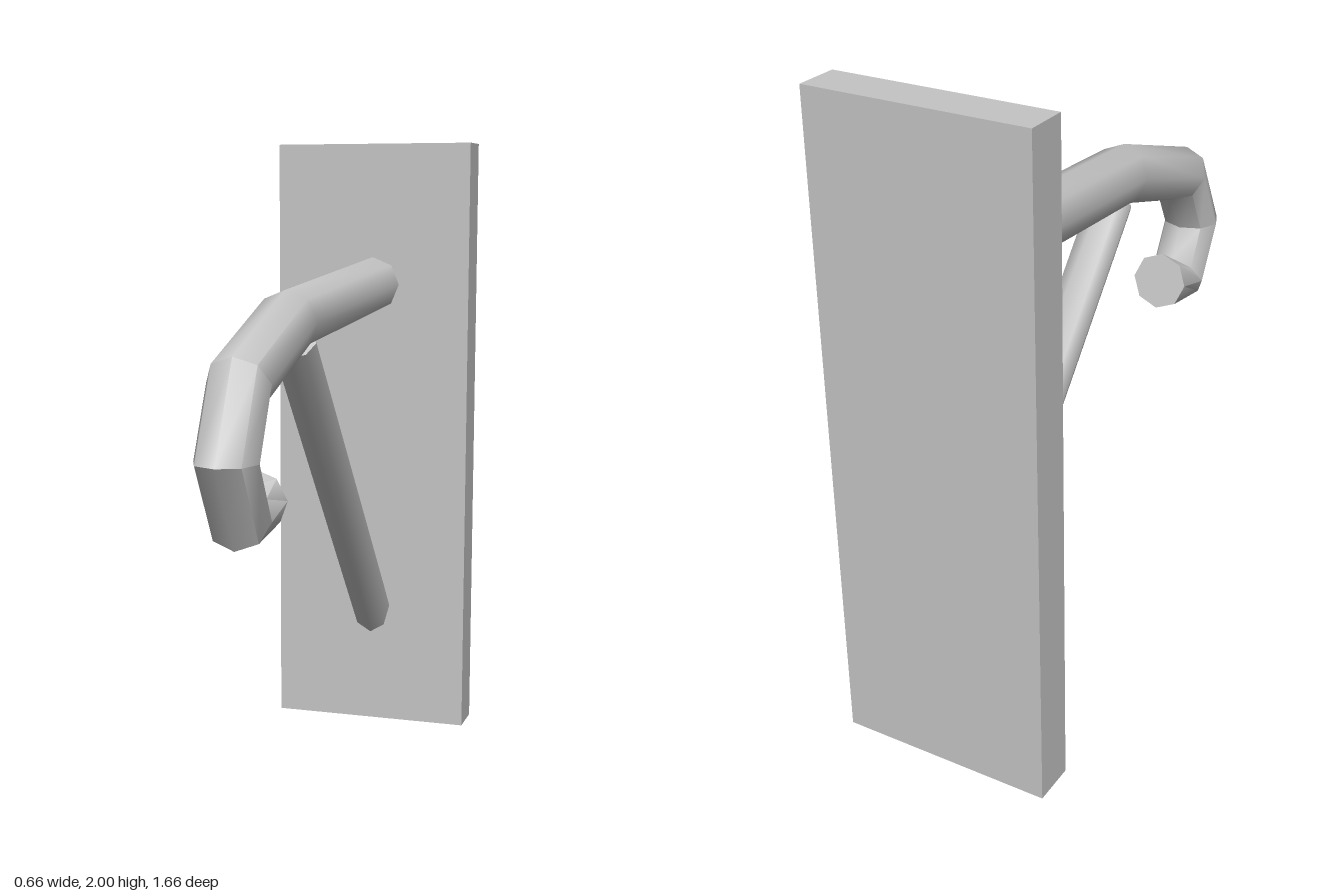
import * as THREE from 'three';
import { toCreasedNormals } from 'three/addons/utils/BufferGeometryUtils.js';

const SIDES = 8;

// Octagonal bar through mitred sections, each [outerZ, outerY, innerZ, innerY]
function bar(sections, radius) {
  const pos = [], index = [];
  for (const [oz, oy, iz, iy] of sections) {
    const cz = (oz + iz) / 2, cy = (oy + iy) / 2;
    for (let i = 0; i < SIDES; i++) {
      const a = (i / SIDES) * Math.PI * 2, c = Math.cos(a);
      pos.push(radius * Math.sin(a), cy + (oy - cy) * c, cz + (oz - cz) * c);
    }
  }
  const last = (sections.length - 1) * SIDES;
  for (let s = 0; s < last; s += SIDES) {
    for (let i = 0; i < SIDES; i++) {
      const j = (i + 1) % SIDES;
      index.push(s + i, s + SIDES + i, s + j, s + j, s + SIDES + i, s + SIDES + j);
    }
  }
  // flat end caps
  for (let i = 1; i < SIDES - 1; i++) {
    index.push(0, i, i + 1, last, last + i + 1, last + i);
  }
  const geometry = new THREE.BufferGeometry();
  geometry.setAttribute('position', new THREE.Float32BufferAttribute(pos, 3));
  geometry.setIndex(index);
  return toCreasedNormals(geometry, 0.87);
}

export function createModel() {
  const group = new THREE.Group();
  const grey = new THREE.MeshStandardMaterial({ color: 0xc4c4c4 });
  grey.name = 'light grey';

  const add = (name, geometry) => {
    const mesh = new THREE.Mesh(geometry, grey);
    mesh.name = name;
    group.add(mesh);
    return mesh;
  };

  // wall plate
  add('wallPlate', new THREE.BoxGeometry(0.664, 2, 0.132)).position.set(0, 1, -0.764);

  // arm curling down and back into a hook
  add('hookArm', bar([
    [-0.72, 1.624, -0.72, 1.441],
    [0.25, 1.56, 0.21, 1.38],
    [0.69, 1.41, 0.59, 1.26],
    [0.83, 1.135, 0.65, 1.14],
    [0.686, 0.89, 0.6, 1.045],
    [0.488, 0.912, 0.53, 1.09],
  ], 0.092));

  // diagonal brace under the arm
  add('brace', bar([
    [-0.74, 0.464, -0.74, 0.265],
    [0.12, 1.447, 0.22, 1.36],
  ], 0.068));

  return group;
}
